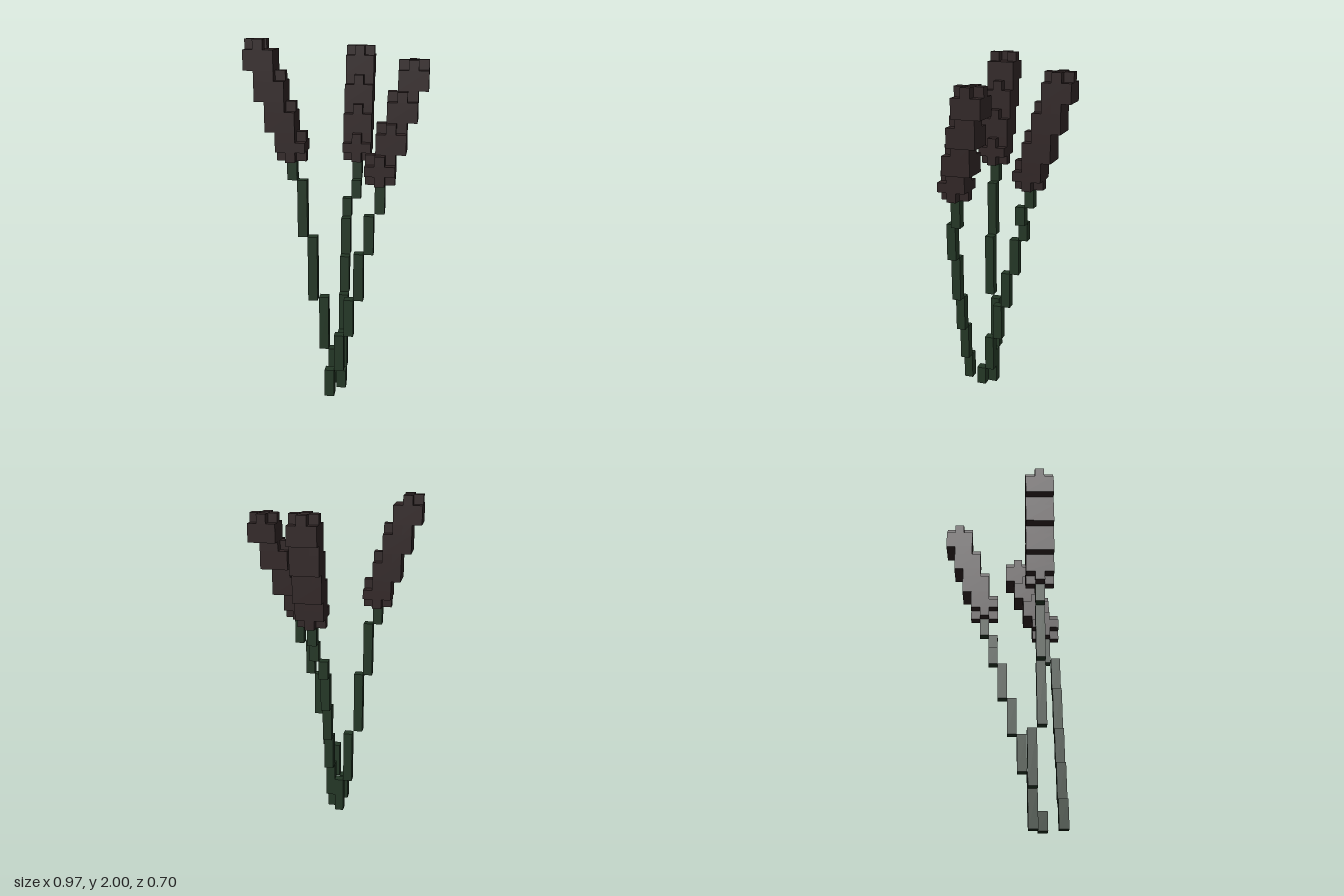
import * as THREE from 'three';
import { mergeGeometries } from 'three/addons/utils/BufferGeometryUtils.js';

const V = 2 / 37; // size of one voxel

// Box given by its low corner and size, in voxels
function box(x, y, z, w, h, d) {
  const g = new THREE.BoxGeometry(w * V, h * V, d * V);
  g.translate((x + w / 2) * V, (y + h / 2) * V, (z + d / 2) * V);
  return g;
}

// Stem: each step is [x, z, y from, y to], one voxel thick
function stemGeometry(steps) {
  return mergeGeometries(steps.map(([x, z, y0, y1]) => box(x, y0, z, 1, y1 - y0, 1)));
}

// One-voxel-high plus shape around centre cell x, z
function cross(x, y, z) {
  return [box(x - 1, y, z, 3, 1, 1), box(x, y, z - 1, 1, 1, 3)];
}

// Seed head: four 3x3 tiers leaning by (dx, dz), each with a notched top layer
function headGeometry({ x, y, z, dx, dz, lobes }) {
  const parts = [];
  for (let i = 0; i < 4; i++) {
    const cx = x + dx * i, cz = z + dz * i, cy = y + 3 * i;
    // The lowest tier is also notched underneath
    if (i === 0) parts.push(...cross(cx, cy, cz), box(cx - 1, cy + 1, cz - 1, 3, 1, 3));
    else parts.push(box(cx - 1, cy, cz - 1, 3, 2, 3));
    if (i === 3) {
      // Crown of separate lobes around an empty centre
      for (const [lx, lz] of lobes) parts.push(box(cx + lx, cy + 2, cz + lz, 1, 1, 1));
      continue;
    }
    parts.push(...cross(cx, cy + 2, cz));
    // Corners that carry the next tier stay filled
    for (const sx of [-1, 1]) for (const sz of [-1, 1]) {
      if ((dx === 0 || sx === dx) && (dz === 0 || sz === dz)) {
        parts.push(box(cx + sx, cy + 2, cz + sz, 1, 1, 1));
      }
    }
  }
  return mergeGeometries(parts);
}

export function createModel() {
  const stemGreen = new THREE.MeshStandardMaterial({ color: 0x233625 });
  stemGreen.name = 'stem green';
  const headBrown = new THREE.MeshStandardMaterial({ color: 0x2f2424 });
  headBrown.name = 'head brown';

  const allLobes = [[-1, 0], [1, 0], [0, -1], [0, 1]];
  const plants = [
    {
      name: 'right',
      stem: [[-1, 2.5, 0, 4], [-2, 2.5, 4, 10], [-3, 3.5, 10, 17], [-4, 3.5, 17, 23], [-5, 3.5, 23, 25]],
      head: { x: -5, y: 25, z: 3.5, dx: -1, dz: 0, lobes: [[-1, 0], [0, -1], [0, 1]] },
    },
    {
      name: 'back',
      stem: [[0, 3.5, 0, 2], [0, 2.5, 2, 6], [0, 1.5, 6, 10], [0, 0.5, 10, 14], [0, -0.5, 14, 18],
        [0, -1.5, 18, 20], [1, -1.5, 20, 22], [1, -2.5, 22, 24]],
      head: { x: 1, y: 24, z: -2.5, dx: 0, dz: -1, lobes: allLobes },
    },
    {
      name: 'left',
      stem: [[-1, 5.5, 0, 3], [0, 5.5, 3, 7], [1, 5.5, 7, 11], [2, 5.5, 11, 16], [3, 5.5, 16, 20], [4, 4.5, 20, 23]],
      head: { x: 4, y: 23, z: 4.5, dx: 1, dz: -1, lobes: allLobes },
    },
  ];

  const model = new THREE.Group();
  model.name = 'reeds';
  for (const p of plants) {
    const plant = new THREE.Group();
    plant.name = p.name + 'Reed';
    const stem = new THREE.Mesh(stemGeometry(p.stem), stemGreen);
    stem.name = p.name + 'Stem';
    const head = new THREE.Mesh(headGeometry(p.head), headBrown);
    head.name = p.name + 'SeedHead';
    plant.add(stem, head);
    model.add(plant);
  }
  return model;
}
